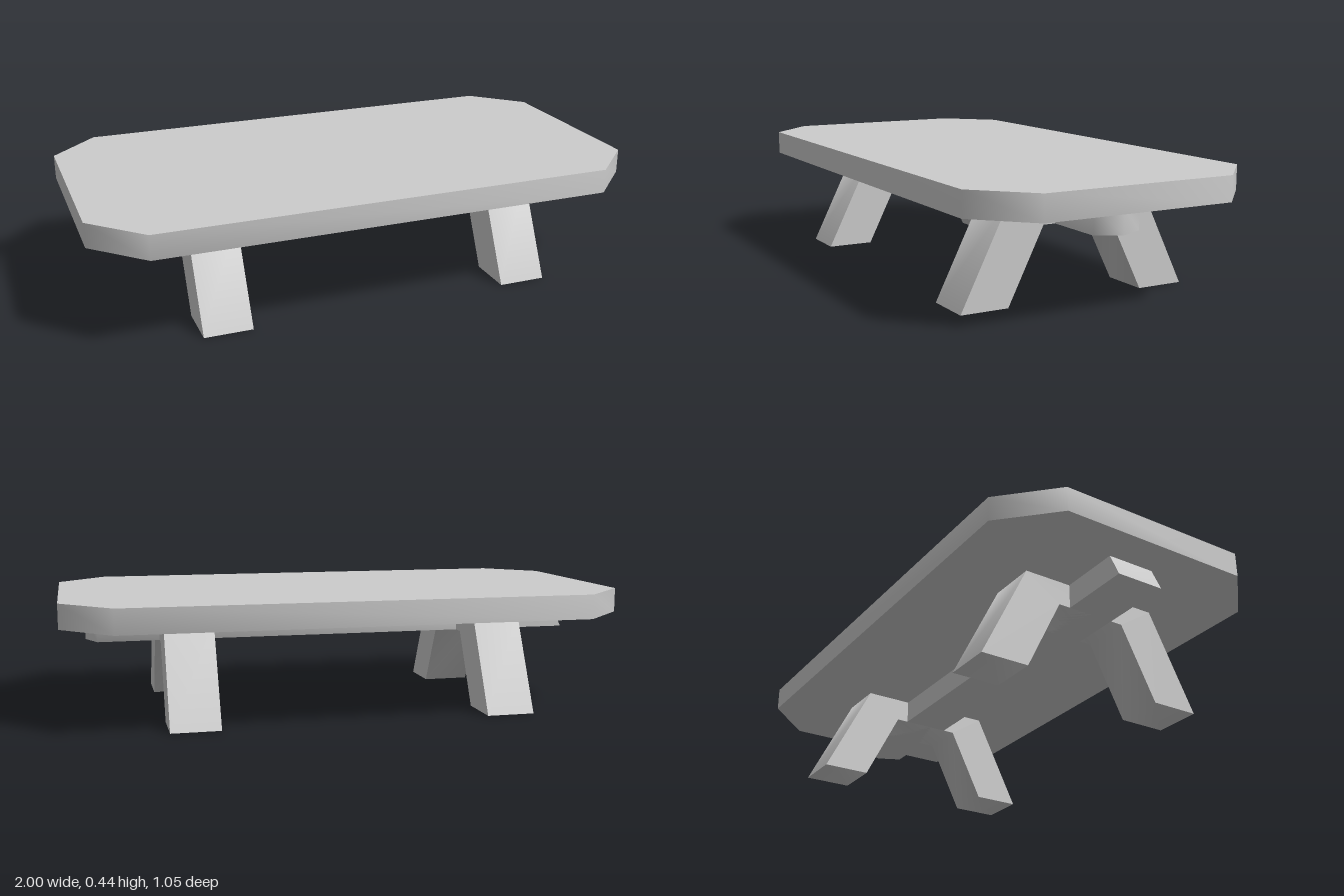
import * as THREE from 'three';
import { toCreasedNormals } from 'three/addons/utils/BufferGeometryUtils.js';

const CREASE = 1.15;
const material = new THREE.MeshStandardMaterial({ color: 0xcccccc });

function prism(points, depth) {
  const shape = new THREE.Shape(points.map(([x, y]) => new THREE.Vector2(x, y)));
  return new THREE.ExtrudeGeometry(shape, { depth, bevelEnabled: false });
}

function part(name, geometry) {
  const mesh = new THREE.Mesh(toCreasedNormals(geometry, CREASE), material);
  mesh.name = name;
  return mesh;
}

// Plan outline (x, z) raised from y0 by a height
function slab(points, y0, height) {
  return prism(points, height).rotateX(-Math.PI / 2).translate(0, y0, 0);
}

export function createModel() {
  const group = new THREE.Group();
  group.name = 'lowTable';

  // Top board with cut corners
  const w = 1, d = 0.523, c = 0.174;
  group.add(part('tableTop', slab([
    [-w, -d + c], [-w + c, -d], [w - c, -d], [w, -d + c],
    [w, d - c], [w - c, d], [-w + c, d], [-w, d - c],
  ], 0.349, 0.087)));

  // Long beam under the board: pointed at one end, undercut at the other
  const beam = slab([
    [-0.91, -0.087], [0.87, -0.087], [0.91, 0], [0.87, 0.087], [-0.91, 0.087],
  ], 0.262, 0.087);
  const pos = beam.attributes.position;
  for (let i = 0; i < pos.count; i++) {
    if (pos.getX(i) < -0.9 && pos.getY(i) > 0.3) pos.setX(i, -0.87);
  }
  group.add(part('beam', beam));

  // Splayed leg frames, each a pair of legs joined by a cross bar
  const half = [[0.262, 0], [0.436, 0], [0.262, 0.349]];
  const profile = [
    [0.131, 0.262], ...half,
    ...half.map(([z, y]) => [-z, y]).reverse(), [-0.131, 0.262],
  ];
  for (const [name, x] of [['leftLegs', 0.564], ['rightLegs', -0.564]]) {
    const legs = prism(profile, 0.174).translate(0, 0, -0.087).rotateY(Math.PI / 2);
    const mesh = part(name, legs);
    mesh.position.x = x;
    group.add(mesh);
  }
  return group;
}
